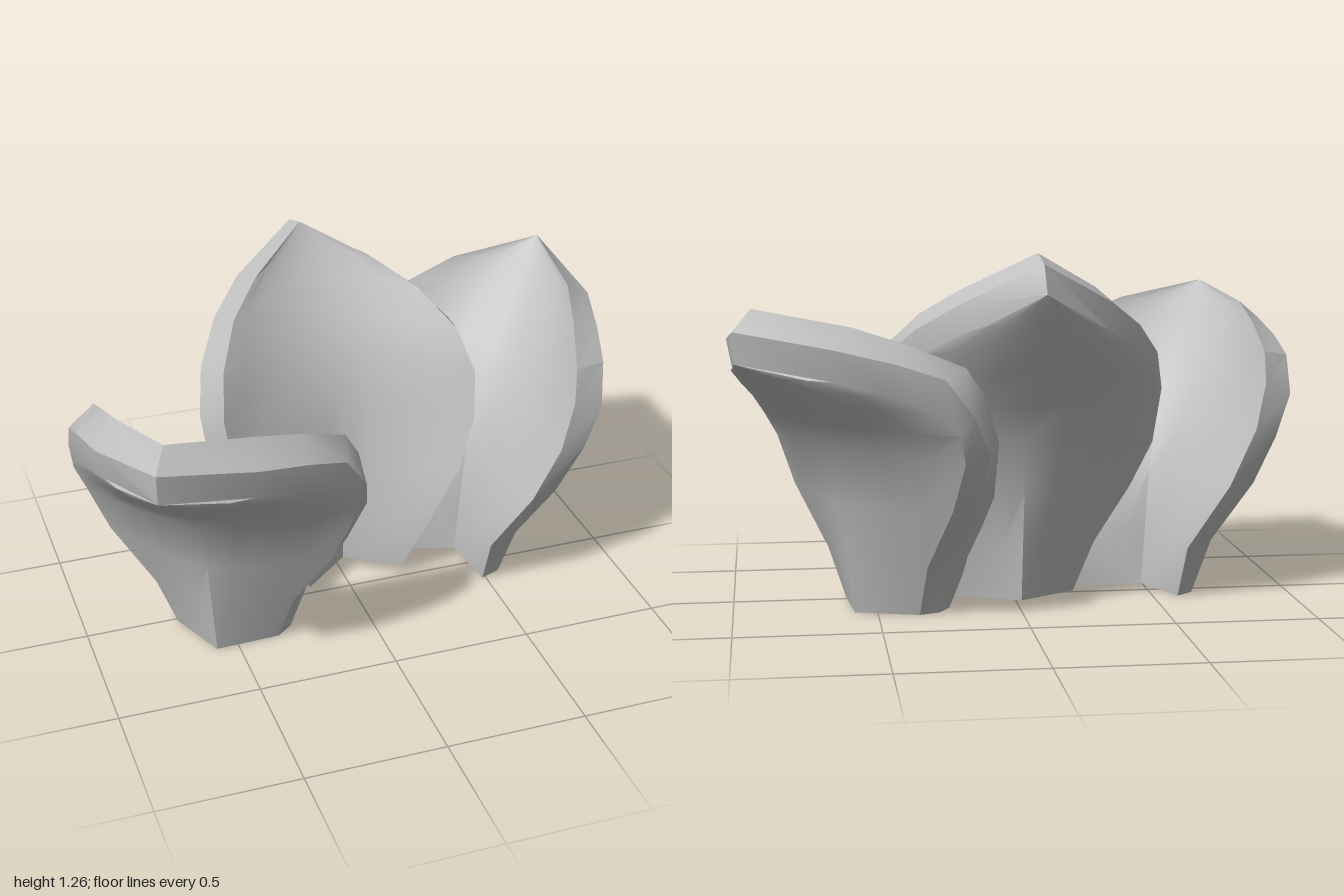
import * as THREE from 'three';
import { toCreasedNormals } from 'three/addons/utils/BufferGeometryUtils.js';

// Each row, base to tip: inner centre [r, y], inner rim [w, r, y], rim ridge [w, r, y],
// outer rim [w, r, y], outer centre [r, y]   (w = half width, r = distance outward, y = height)
const leaningRows = [
  [[0, 0], [0.19, -0.125, 0], [0.215, -0.05, 0], [0.19, 0.02, 0], [0.15, 0]],
  [[0.03, 0.2], [0.245, -0.175, 0.19], [0.28, -0.07, 0.19], [0.255, 0.045, 0.18], [0.185, 0.19]],
  [[0.07, 0.42], [0.39, -0.145, 0.42], [0.43, -0.04, 0.42], [0.405, 0.07, 0.4], [0.22, 0.39]],
  [[0.16, 0.63], [0.465, -0.09, 0.62], [0.51, 0, 0.6], [0.48, 0.085, 0.57], [0.3, 0.61]],
  [[0.25, 0.76], [0.475, -0.02, 0.78], [0.53, 0.09, 0.73], [0.5, 0.13, 0.67], [0.385, 0.695]],
  [[0.34, 0.86], [0.445, 0.046, 0.885], [0.485, 0.18, 0.86], [0.455, 0.215, 0.755], [0.475, 0.77]],
  [[0.43, 0.95], [0.34, 0.22, 0.97], [0.395, 0.315, 0.915], [0.375, 0.33, 0.81], [0.55, 0.83]],
  [[0.51, 1.02], [0.24, 0.37, 1.03], [0.275, 0.475, 0.965], [0.255, 0.465, 0.86], [0.61, 0.875]],
  [[0.59, 1.09], [0, 0.59, 1.09], [0, 0.67, 1.02], [0, 0.665, 0.915], [0.665, 0.915]],
];
const uprightRows = [
  [[0, 0.05], [0.185, -0.125, 0.04], [0.235, -0.05, 0.04], [0.215, 0.02, 0.035], [0.15, 0.04]],
  [[0, 0.24], [0.26, -0.175, 0.22], [0.31, -0.08, 0.22], [0.29, 0.02, 0.21], [0.17, 0.22]],
  [[0.01, 0.46], [0.39, -0.17, 0.43], [0.445, -0.06, 0.42], [0.42, 0.025, 0.41], [0.195, 0.42]],
  [[0.06, 0.68], [0.47, -0.13, 0.62], [0.52, -0.02, 0.6], [0.495, 0.05, 0.57], [0.245, 0.62]],
  [[0.12, 0.84], [0.485, -0.09, 0.79], [0.53, 0.04, 0.76], [0.505, 0.09, 0.71], [0.3, 0.74]],
  [[0.2, 0.97], [0.45, 0, 0.93], [0.485, 0.14, 0.9], [0.455, 0.18, 0.83], [0.38, 0.86]],
  [[0.28, 1.08], [0.355, 0.145, 1.05], [0.385, 0.27, 1.01], [0.36, 0.3, 0.93], [0.45, 0.97]],
  [[0.35, 1.18], [0.23, 0.26, 1.14], [0.255, 0.385, 1.1], [0.24, 0.4, 1.01], [0.5, 1.06]],
  [[0.4, 1.265], [0, 0.4, 1.265], [0, 0.5, 1.235], [0, 0.55, 1.14], [0.55, 1.14]],
];

const STEPS = 8;

// Points across one face of a row: a sharp chevron at the base, a smooth bowl higher up
function crossSection([w, r, y], [cr, cy], power) {
  const points = [];
  for (let k = 0; k <= STEPS; k++) {
    const t = (2 * k) / STEPS - 1;
    const f = Math.abs(t) ** power;
    points.push(new THREE.Vector3(w * t, cy + (y - cy) * f, -(cr + (r - cr) * f)));
  }
  return points;
}

function petalGeometry(rows) {
  const positions = [];
  const triangle = (a, b, c) => {
    if (a.distanceTo(b) < 1e-5 || b.distanceTo(c) < 1e-5 || c.distanceTo(a) < 1e-5) return;
    for (const p of [a, b, c]) positions.push(p.x, p.y, p.z);
  };
  const quad = (a, b, c, d) => { triangle(a, b, c); triangle(a, c, d); };

  // Closed loop per row: inner face, rim ridge, outer face, other rim ridge
  const loops = rows.map(([innerMid, innerRim, [w, r, y], outerRim, outerMid], i) => {
    const power = THREE.MathUtils.clamp(1 + (i - 1) * 0.3, 1, 1.8);
    return [
      ...crossSection(innerRim, innerMid, power),
      new THREE.Vector3(w, y, -r),
      ...crossSection(outerRim, outerMid, power).reverse(),
      new THREE.Vector3(-w, y, -r),
    ];
  });
  const n = loops[0].length;
  for (let i = 0; i < loops.length - 1; i++) {
    for (let j = 0; j < n; j++) {
      const k = (j + 1) % n;
      quad(loops[i][j], loops[i][k], loops[i + 1][k], loops[i + 1][j]);
    }
  }

  // Base cap
  const base = loops[0];
  for (let k = 0; k < STEPS; k++) {
    quad(base[k], base[n - 2 - k], base[n - 3 - k], base[k + 1]);
  }
  triangle(base[STEPS], base[STEPS + 2], base[STEPS + 1]);
  triangle(base[0], base[n - 1], base[n - 2]);

  const geometry = new THREE.BufferGeometry();
  geometry.setAttribute('position', new THREE.Float32BufferAttribute(positions, 3));
  return toCreasedNormals(geometry, 0.6);
}

export function createModel() {
  const model = new THREE.Group();
  model.name = 'petals';
  const grey = new THREE.MeshStandardMaterial({ color: 0xc0c0c0 });
  grey.name = 'petal grey';

  const leaning = petalGeometry(leaningRows);
  const upright = petalGeometry(uprightRows);

  const addPetal = (name, geometry, x, z, turn) => {
    const petal = new THREE.Mesh(geometry, grey);
    petal.name = name;
    petal.position.set(x, 0, z);
    petal.rotation.y = turn;
    model.add(petal);
  };
  addPetal('backPetal', upright, 0.012, -0.12, 0.075);
  addPetal('leftPetal', leaning, 0.463, -0.113, -0.88);
  addPetal('rightPetal', leaning, -0.497, 0.1, 2.571);
  return model;
}
